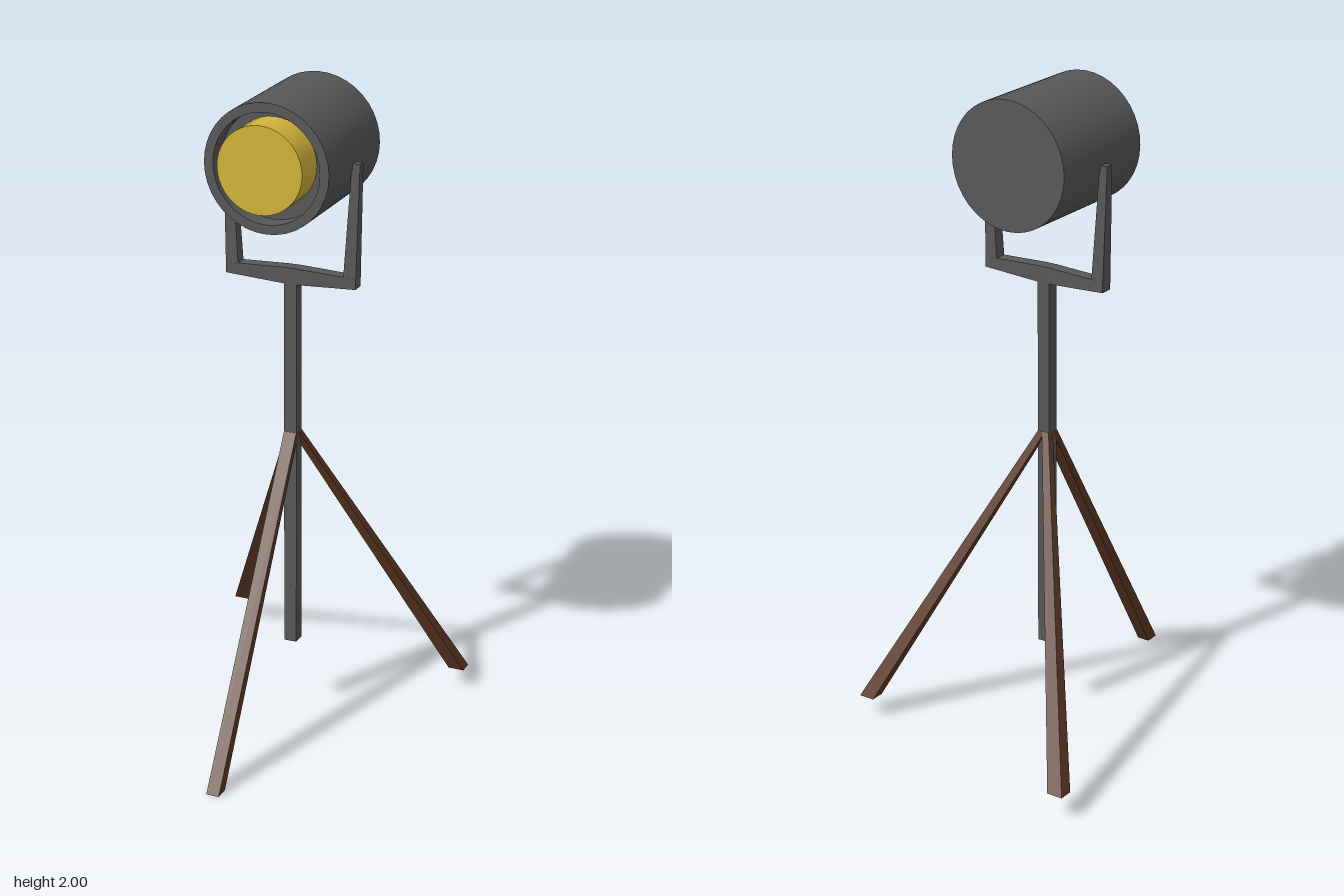
import * as THREE from 'three';
import { toCreasedNormals } from 'three/addons/utils/BufferGeometryUtils.js';

const CX = -0.015, CZ = -0.03; // axis of the post

export function createModel() {
  const model = new THREE.Group();
  const mat = (name, color) => {
    const m = new THREE.MeshStandardMaterial({ color });
    m.name = name;
    return m;
  };
  const metal = mat('dark grey metal', 0x585858);
  const wood = mat('brown wood', 0x5c3823);
  const gold = mat('golden lens', 0xd4b43a);

  const add = (name, geometry, material) => {
    const mesh = new THREE.Mesh(geometry, material);
    mesh.name = name;
    model.add(mesh);
    return mesh;
  };

  // Straight bar between two level rectangles, each given as [x, y, z, width, depth]
  const bar = (low, high) => {
    const g = new THREE.BoxGeometry(1, 1, 1);
    const p = g.attributes.position;
    for (let i = 0; i < p.count; i++) {
      const e = p.getY(i) > 0 ? high : low;
      p.setXYZ(i, e[0] + p.getX(i) * e[3], e[1], e[2] + p.getZ(i) * e[4]);
    }
    const flat = g.toNonIndexed();
    flat.computeVertexNormals();
    return flat;
  };

  // Centre post, hanging below the leg joint
  add('post', bar([CX, 0.24, CZ, 0.04, 0.04], [CX, 1.43, CZ, 0.04, 0.04]), metal);

  // Three splayed legs, the rear ones ending slightly higher
  add('frontLeg', bar([CX, 0, 0.55, 0.04, 0.045], [CX, 0.94, -0.02, 0.04, 0.022]), wood);
  add('rearRightLeg', bar([-0.415, 0.08, -0.552, 0.05, 0.044], [-0.022, 0.94, -0.04, 0.024, 0.022]), wood);
  add('rearLeftLeg', bar([0.413, 0.065, -0.374, 0.05, 0.044], [-0.008, 0.94, -0.04, 0.024, 0.022]), wood);

  // Crossbar of the yoke, thickest over the post
  const s = new THREE.Shape([
    [-0.207, 1.42], [-0.02, 1.41], [0.02, 1.41], [0.207, 1.42],
    [0.207, 1.452], [0.02, 1.46], [-0.02, 1.46], [-0.207, 1.452],
  ].map(([x, y]) => new THREE.Vector2(x, y)));
  const beam = new THREE.ExtrudeGeometry(s, { depth: 0.04, bevelEnabled: false });
  beam.translate(CX, 0, CZ - 0.02);
  add('yokeCrossbar', beam, metal);

  // Yoke arms, tapering up to the sides of the lamp
  for (const [side, name] of [[1, 'yokeArmLeft'], [-1, 'yokeArmRight']]) {
    add(name, bar(
      [CX + side * 0.187, 1.44, CZ, 0.04, 0.04],
      [CX + side * 0.202, 1.797, CZ, 0.025, 0.026]), metal);
  }

  // Lamp drum with a recessed front
  const profile = [[0, 0], [0.193, 0], [0.193, 0.39], [0.165, 0.39], [0.165, 0.33], [0, 0.33]]
    .map(([r, y]) => new THREE.Vector2(r, y));
  const drum = toCreasedNormals(new THREE.LatheGeometry(profile, 40), 0.6);
  drum.rotateX(Math.PI / 2);
  drum.translate(CX, 1.807, -0.227);
  add('lampDrum', drum, metal);

  // Round lens standing out of the recess
  const lens = new THREE.CylinderGeometry(0.131, 0.131, 0.11, 40);
  lens.rotateX(Math.PI / 2);
  lens.translate(CX, 1.815, 0.155);
  add('lens', lens, gold);

  return model;
}
